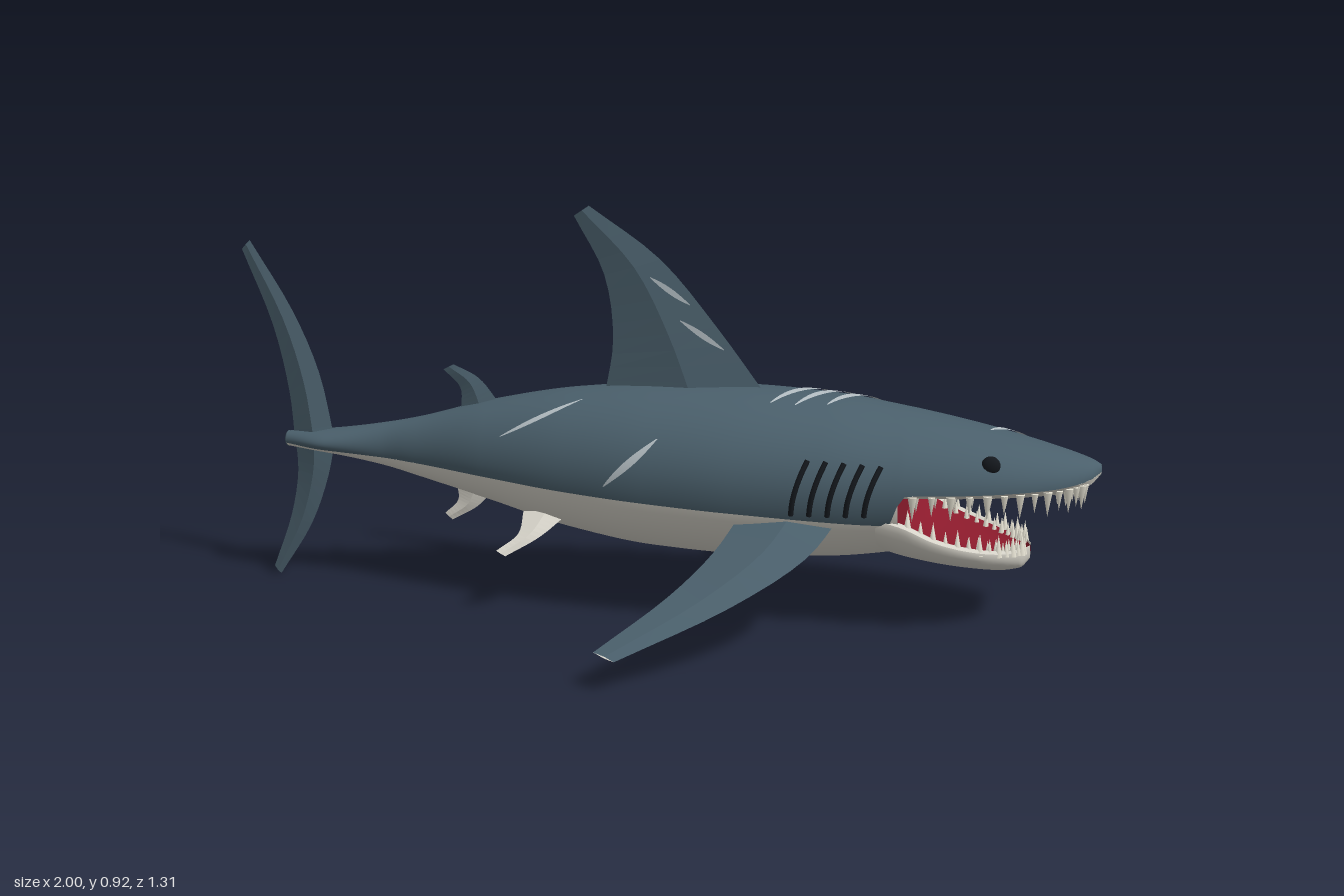
import * as THREE from 'three';
import { ParametricGeometry } from 'three/addons/geometries/ParametricGeometry.js';

const paint = (name, color) => new THREE.MeshStandardMaterial({ name, color, side: THREE.DoubleSide });
const slate = paint('slate skin', 0x4a5f6b);
const pale = paint('pale belly', 0xd6d3c9);
const ivory = paint('tooth ivory', 0xe9e5d6);
const red = paint('mouth red', 0x8a1a2b);
const dark = paint('dark slit', 0x14181d);
const scarGrey = paint('scar grey', 0xb4bec3);

// Body stations: x, top, bottom, half width, height of widest point, colour line
const BODY = [
  [-0.9, 0.355, 0.32, 0.02, 0.337, 0.33], [-0.8, 0.365, 0.31, 0.052, 0.337, 0.324],
  [-0.66, 0.388, 0.285, 0.045, 0.336, 0.313], [-0.58, 0.405, 0.265, 0.058, 0.335, 0.308],
  [-0.4, 0.455, 0.22, 0.115, 0.333, 0.3], [-0.2, 0.493, 0.168, 0.17, 0.33, 0.29],
  [0, 0.51, 0.138, 0.205, 0.33, 0.282], [0.2, 0.515, 0.13, 0.22, 0.33, 0.274],
  [0.4, 0.505, 0.138, 0.215, 0.328, 0.264], [0.55, 0.484, 0.158, 0.198, 0.326, 0.258],
  [0.58, 0.479, 0.165, 0.193, 0.33, 0.33], [0.7, 0.457, 0.2, 0.168, 0.331, 0.331],
  [0.8, 0.435, 0.22, 0.14, 0.333, 0.333], [0.9, 0.41, 0.25, 0.1, 0.338, 0.338],
  [0.96, 0.393, 0.28, 0.062, 0.346, 0.346], [0.985, 0.384, 0.3, 0.04, 0.354, 0.354],
  [1, 0.376, 0.34, 0.014, 0.362, 0.362],
];
// Lower jaw stations: x, rim, bottom, half width
const JAW = [
  [0.52, 0.27, 0.165, 0.185], [0.58, 0.255, 0.15, 0.185], [0.65, 0.222, 0.14, 0.172],
  [0.72, 0.2, 0.132, 0.148], [0.79, 0.185, 0.126, 0.105], [0.83, 0.18, 0.13, 0.062], [0.85, 0.177, 0.15, 0.012],
];

// Monotone cubic reading of a station table
function sample(table, x) {
  let i = 0;
  while (i < table.length - 2 && x > table[i + 1][0]) i++;
  const slope = (k, c) => (table[k + 1][c] - table[k][c]) / (table[k + 1][0] - table[k][0]);
  const tangent = (k, c) => {
    if (k === 0) return slope(0, c);
    if (k === table.length - 1) return slope(k - 1, c);
    const a = slope(k - 1, c), b = slope(k, c);
    return a * b <= 0 ? 0 : (2 * a * b) / (a + b);
  };
  const h = table[i + 1][0] - table[i][0];
  const t = THREE.MathUtils.clamp((x - table[i][0]) / h, 0, 1);
  return table[i].map((p, c) => c === 0 ? x :
    (1 + 2 * t) * (1 - t) ** 2 * p + t * (1 - t) ** 2 * h * tangent(i, c) +
    t * t * (3 - 2 * t) * table[i + 1][c] + t * t * (t - 1) * h * tangent(i + 1, c));
}

// Point on the body skin at angle a (0 = left side, PI/2 = top)
function skin(x, a, out, lift = 0) {
  const [, top, bottom, w, mid] = sample(BODY, x);
  const s = Math.sin(a);
  return out.set(x, mid + ((s > 0 ? top - mid : mid - bottom) + lift) * s, (w + lift) * Math.cos(a));
}
function splitAngle(x) {
  const [, , bottom, , mid, split] = sample(BODY, x);
  return Math.asin(THREE.MathUtils.clamp((split - mid) / (mid - bottom), -1, 1));
}

export function createModel() {
  const model = new THREE.Group();
  model.name = 'shark';
  const add = (name, geometry, material) => {
    const mesh = new THREE.Mesh(geometry, material);
    mesh.name = name;
    model.add(mesh);
    return mesh;
  };
  const sheet = (name, material, fn, nu, nv) => add(name, new ParametricGeometry(fn, nu, nv), material);
  const lerp = THREE.MathUtils.lerp;

  // Body skin in two colours
  sheet('back', slate, (u, v, p) => {
    const x = lerp(-0.9, 1, u), a = splitAngle(x);
    skin(x, lerp(a, Math.PI - a, v), p);
  }, 110, 28);
  sheet('belly', pale, (u, v, p) => {
    const x = lerp(-0.9, 0.57, u), a = splitAngle(x);
    skin(x, lerp(Math.PI - a, 2 * Math.PI + a, v), p);
  }, 70, 24);
  const nose = add('noseTip', new THREE.SphereGeometry(0.014, 16, 10), slate);
  nose.scale.set(0.3, 1, 1);
  nose.position.set(0.997, 0.363, 0);
  const stump = add('tailEnd', new THREE.SphereGeometry(0.019, 16, 10), slate);
  stump.scale.x = 0.4;
  stump.position.set(-0.9, 0.337, 0);

  // Upper mouth: pale lips, arched palate, pale snout underside
  const under = (x, s, p) => {
    const [, , , w, mid] = sample(BODY, x);
    const e = Math.abs(s);
    const y = e > 0.75 ? -0.018 * (1 - e) / 0.25 : -0.018 + 0.25 * w * (1 - (e / 0.75) ** 2);
    return p.set(x, mid + y * Math.min(1, w / 0.06), w * s);
  };
  for (const side of [1, -1])
    sheet('upperLip', pale, (u, v, p) => under(lerp(0.57, 1, u), side * lerp(1, 0.75, v), p), 30, 4);
  sheet('palate', slate, (u, v, p) => under(lerp(0.56, 0.86, u), lerp(-0.75, 0.75, v), p), 16, 12);
  sheet('snoutUnderside', pale, (u, v, p) => under(lerp(0.86, 1, u), lerp(-0.75, 0.75, v), p), 14, 12);
  sheet('throat', red, (u, v, p) => {
    const [, , bottom, w, mid] = sample(BODY, 0.565);
    const s = lerp(-0.97, 0.97, u);
    p.set(0.565, lerp(mid - (mid - bottom) * 0.96 * Math.sqrt(1 - s * s), mid + 0.02, v), w * 0.97 * s);
  }, 20, 2);

  // Lower jaw: outer bowl, rim and red floor
  const jawX = (u) => lerp(0.52, 0.85, Math.sin(u * Math.PI / 2));
  sheet('lowerJaw', pale, (u, v, p) => {
    const [x, rim, bottom, w] = sample(JAW, jawX(u)), a = Math.PI * (1 + v);
    p.set(x, rim + (rim - bottom) * Math.sin(a), w * Math.cos(a));
  }, 30, 20);
  for (const side of [1, -1])
    sheet('lowerLip', pale, (u, v, p) => {
      const [x, rim, , w] = sample(JAW, jawX(u));
      p.set(x, rim + 0.006 * Math.sin(v * Math.PI), side * w * lerp(1, 0.86, v));
    }, 30, 4);
  sheet('mouthFloor', red, (u, v, p) => {
    const [x, rim, bottom, w] = sample(JAW, jawX(u)), s = lerp(-1, 1, v);
    p.set(x, rim - 0.45 * (rim - bottom) * (1 - s * s), 0.86 * w * s);
  }, 30, 12);

  // Teeth in an outer and a smaller inner row on each jaw
  const tooth = (name, x, y, z, size, dir) => {
    const cone = add(name, new THREE.ConeGeometry(size * 0.2, size, 6), ivory);
    cone.position.set(x, y + dir * size * 0.42, z);
    if (dir < 0) cone.rotation.x = Math.PI;
  };
  for (const side of [1, -1]) for (const row of [0, 1]) for (let i = 0; i < 14; i++) {
    const k = Math.sin((i + row * 0.5) / 14 * Math.PI / 2);
    const size = (i % 2 ? 0.044 : 0.056) * (row ? 0.75 : 1);
    const inset = row ? 0.78 : 0.92;
    const [ux, , , uw, umid] = sample(BODY, 0.6 + 0.37 * k - row * 0.015);
    tooth('upperTooth', ux, umid - 0.01, side * uw * inset, size, -1);
    const [lx, rim, , lw] = sample(JAW, 0.59 + 0.25 * k - row * 0.015);
    tooth('lowerTooth', lx, rim - 0.004, side * lw * inset, size * 0.9, 1);
  }

  // Eyes and gill slits
  for (const side of [1, -1]) {
    const eye = add('eye', new THREE.SphereGeometry(0.021, 16, 12), dark);
    skin(0.765, 0.58, eye.position);
    eye.position.z *= side;
    eye.scale.z = 0.6;
    for (let i = 0; i < 5; i++) {
      const pts = [0, 1, 2, 3, 4].map((j) => {
        const p = skin(0.337 + i * 0.04 + 0.034 * (j / 4) ** 1.5, lerp(-0.26, 0.42, j / 4), new THREE.Vector3(), 0.001);
        p.z *= side;
        return p;
      });
      add('gillSlit', new THREE.TubeGeometry(new THREE.CatmullRomCurve3(pts), 12, 0.006, 6), dark);
    }
  }

  // Scars on the skin: start x, start angle, end x, end angle
  for (const [x0, a0, x1, a1] of [
    [0.27, 1.17, 0.41, 2.27], [0.325, 1.17, 0.46, 2.27], [0.395, 1.25, 0.51, 2.25],
    [0.755, 1.44, 0.845, 2.45], [-0.35, 0.5, -0.165, 1.15], [-0.09, -0.08, 0.03, 0.56],
  ]) sheet('scar', scarGrey, (u, v, p) =>
    skin(lerp(x0, x1, u) + (v - 0.5) * 0.022 * (0.15 + Math.sin(u * Math.PI)), lerp(a0, a1, u), p, 0.003), 14, 2);

  // Fins: ridged blades between a leading and a trailing curve
  const curve = (pts) => new THREE.CatmullRomCurve3(pts.map((p) => new THREE.Vector3(...p)));
  const fin = (name, leadPts, trailPts, normal, thick, mats) => {
    const lead = curve(leadPts), trail = curve(trailPts), n = new THREE.Vector3(...normal).normalize();
    [1, -1].forEach((dir, i) => {
      const blade = new ParametricGeometry((u, v, p) => {
        p.copy(lead.getPoint(u)).lerp(trail.getPoint(u), v < 0.5 ? v * 0.9 : 0.45 + (v - 0.5) * 1.1);
        p.addScaledVector(n, dir * thick * (1 - 0.85 * u) * (1 - Math.abs(2 * v - 1)));
      }, 12, 2).toNonIndexed();
      blade.computeVertexNormals();
      add(name, blade, mats[i]);
    });
  };
  const flat = (pts) => pts.map(([x, y]) => [x, y, 0]);
  const upright = (name, lead, trail, thick, mat) => fin(name, flat(lead), flat(trail), [0, 0, 1], thick, [mat, mat]);
  upright('dorsalFin', [[0.25, 0.49], [0.13, 0.65], [0, 0.8], [-0.165, 0.917]],
    [[-0.13, 0.48], [-0.11, 0.61], [-0.13, 0.76], [-0.2, 0.893]], 0.027, slate);
  upright('rearDorsalFin', [[-0.38, 0.445], [-0.43, 0.505], [-0.49, 0.535]],
    [[-0.475, 0.42], [-0.475, 0.48], [-0.515, 0.522]], 0.012, slate);
  upright('upperTailLobe', [[-0.785, 0.33], [-0.82, 0.5], [-0.88, 0.645], [-0.98, 0.81]],
    [[-0.885, 0.33], [-0.895, 0.45], [-0.93, 0.61], [-1, 0.788]], 0.02, slate);
  upright('lowerTailLobe', [[-0.785, 0.345], [-0.805, 0.25], [-0.85, 0.13], [-0.932, 0]],
    [[-0.885, 0.345], [-0.88, 0.26], [-0.9, 0.15], [-0.948, 0.018]], 0.02, slate);
  upright('analFin', [[-0.4, 0.235], [-0.44, 0.195], [-0.5, 0.16]],
    [[-0.49, 0.255], [-0.485, 0.21], [-0.518, 0.175]], 0.01, pale);
  for (const s of [1, -1]) {
    const wing = (pts) => pts.map(([x, z]) => [x, 0.25 - (z - 0.19) * 0.385, s * z]);
    fin('pectoralFin', wing([[0.44, 0.15], [0.385, 0.3], [0.25, 0.47], [0.04, 0.657]]),
      wing([[0.22, 0.15], [0.18, 0.3], [0.11, 0.45], [-0.01, 0.632]]), [0, 0.93, s * 0.36], 0.018, [slate, pale]);
    fin('pelvicFin', [[-0.2, 0.215, s * 0.1], [-0.25, 0.175, s * 0.15], [-0.32, 0.137, s * 0.19]],
      [[-0.3, 0.22, s * 0.1], [-0.3, 0.18, s * 0.15], [-0.342, 0.148, s * 0.187]], [0, 0.75, s * 0.66], 0.009, [pale, pale]);
  }

  // Scars on both faces of the dorsal fin
  for (const s of [1, -1]) for (const [x0, y0, x1, y1, z0, z1] of [
    [-0.02, 0.76, 0.07, 0.7, 0.015, 0.009], [0.05, 0.665, 0.15, 0.6, 0.021, 0.013],
  ]) sheet('finScar', scarGrey, (u, v, p) => p.set(lerp(x0, x1, u),
    lerp(y0, y1, u) + (v - 0.5) * 0.014 * (0.15 + Math.sin(u * Math.PI)), s * lerp(z0, z1, u)), 8, 2);

  return model;
}
